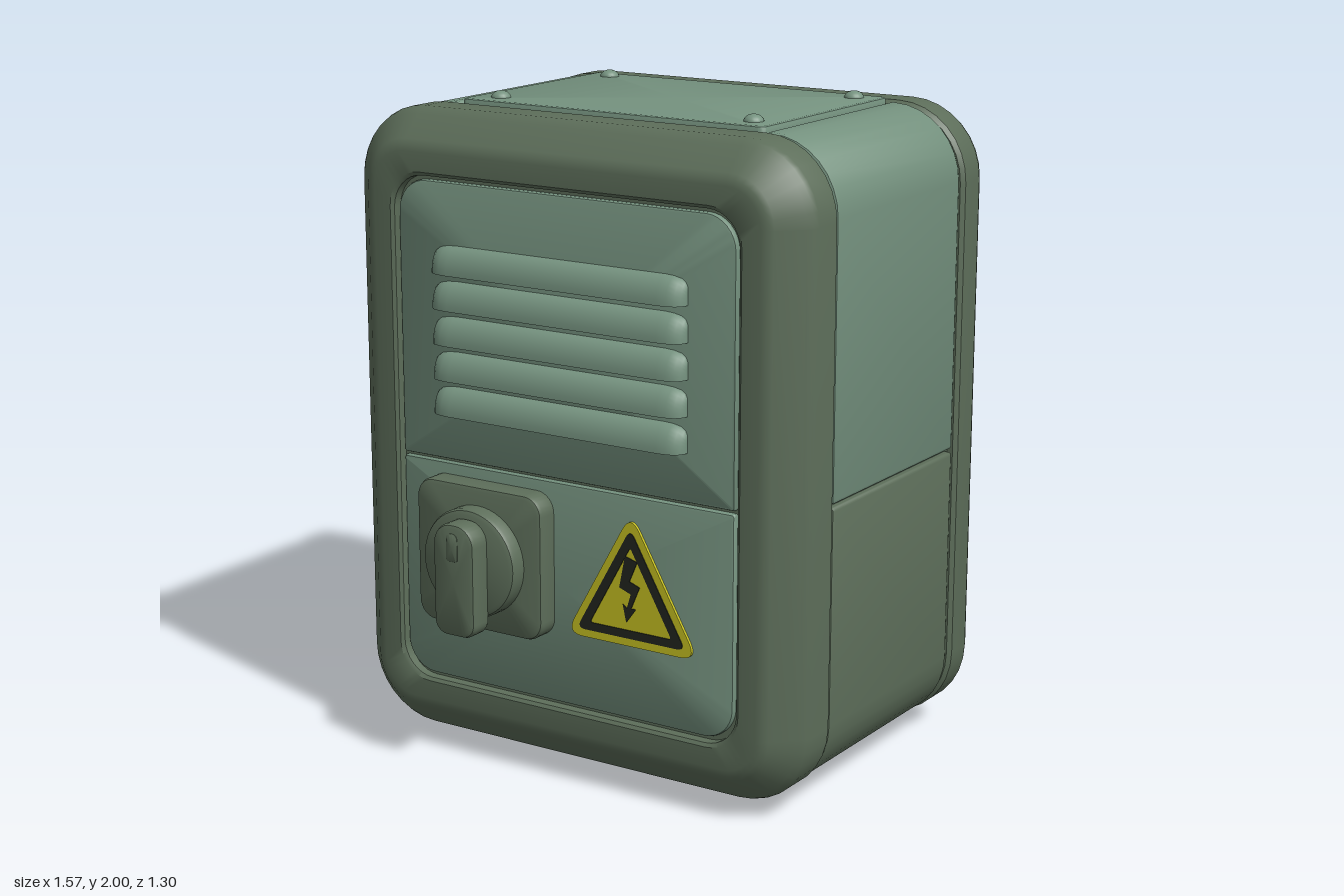
import * as THREE from 'three';
import { toCreasedNormals } from 'three/addons/utils/BufferGeometryUtils.js';

const material = (name, color) => {
  const m = new THREE.MeshStandardMaterial({ color });
  m.name = name;
  return m;
};

// Rounded rectangle outline, counter-clockwise; radii = [topRight, topLeft, bottomLeft, bottomRight]
function outline([x0, x1, y0, y1], radii, inset) {
  const pts = [], steps = 8;
  const corners = [[x1, y1, -1, -1], [x0, y1, 1, -1], [x0, y0, 1, 1], [x1, y0, -1, 1]];
  corners.forEach(([x, y, sx, sy], c) => {
    const r = Math.max(radii[c] - inset, 0.006);
    const cx = x + sx * (inset + r), cy = y + sy * (inset + r);
    for (let i = 0; i <= steps; i++) {
      const a = (c + i / steps) * Math.PI / 2;
      pts.push([cx + r * Math.cos(a), cy + r * Math.sin(a)]);
    }
  });
  return pts;
}

// Closed solid from rows of equal length, capped by fans at both ends
function loft(rows, crease = 0.6) {
  const n = rows[0].length, pos = [], idx = [];
  rows.forEach(row => row.forEach(p => pos.push(...p)));
  for (let k = 0; k < rows.length - 1; k++) {
    for (let i = 0; i < n; i++) {
      const a = k * n + i, b = k * n + (i + 1) % n;
      idx.push(a, b, b + n, a, b + n, a + n);
    }
  }
  [0, rows.length - 1].forEach((k, end) => {
    const mid = [0, 1, 2].map(j => rows[k].reduce((s, p) => s + p[j], 0) / n);
    const m = pos.length / 3;
    pos.push(...mid);
    for (let i = 0; i < n; i++) {
      const a = k * n + i, b = k * n + (i + 1) % n;
      idx.push(m, end ? a : b, end ? b : a);
    }
  });
  const g = new THREE.BufferGeometry();
  g.setAttribute('position', new THREE.Float32BufferAttribute(pos, 3));
  g.setIndex(idx);
  return toCreasedNormals(g, crease);
}

// Slab with a rounded rectangular outline; layers = [inset, z, optional radius]
function slab(rect, radii, layers) {
  const all = Array.isArray(radii) ? radii : [radii, radii, radii, radii];
  return loft(layers.map(([inset, z, r]) =>
    outline(rect, r === undefined ? all : all.map(() => r + inset), inset).map(([x, y]) => [x, y, z])));
}

// Slab with softened edges at both ends
const softSlab = (rect, radii, z0, z1, b) => slab(rect, radii, [
  [b, z0], [b * 0.3, z0 + b * 0.3], [0, z0 + b],
  [0, z1 - b], [b * 0.3, z1 - b * 0.3], [b, z1]]);

// Triangle with rounded corners, scaled about its centre
function triangle(cls, half, bottom, top, round) {
  const s = new cls();
  const v = [[0, top], [-half, bottom], [half, bottom]];
  v.forEach((p, i) => {
    const prev = v[(i + 2) % 3], next = v[(i + 1) % 3];
    const toward = q => {
      const d = Math.hypot(q[0] - p[0], q[1] - p[1]);
      return [p[0] + (q[0] - p[0]) * round / d, p[1] + (q[1] - p[1]) * round / d];
    };
    const a = toward(prev), b = toward(next);
    if (i) s.lineTo(...a); else s.moveTo(...a);
    s.quadraticCurveTo(...p, ...b);
  });
  s.closePath();
  return s;
}

export function createModel() {
  const group = new THREE.Group();
  const light = material('light green paint', 0x75927f);
  const dark = material('dark green paint', 0x5d6e5a);
  const yellow = material('warning yellow', 0xc9c322);
  const black = material('sign black', 0x22261f);

  const add = (name, geometry, mat, parent = group) => {
    const mesh = new THREE.Mesh(geometry, mat);
    mesh.name = name;
    parent.add(mesh);
    return mesh;
  };

  // Housing: core, chamfered front frame with a recess, and back cover
  const face = [-0.787, 0.785, 0.04, 1.97];
  add('core', slab([-0.755, 0.755, 0.06, 1.945], 0.2, [[0, -0.52], [0, 0.28]]), dark);
  add('frontFrame', slab(face, 0.23, [
    [0.012, 0.252], [0, 0.264], [0, 0.36], [0.006, 0.377], [0.02, 0.394],
    [0.085, 0.456], [0.1, 0.466], [0.12, 0.47],
    [0.178, 0.47, 0.11], [0.188, 0.462, 0.105], [0.19, 0.435, 0.1]]), dark);
  add('backCover', slab(face, 0.23, [
    [0.12, -0.65], [0.07, -0.646], [0.035, -0.638], [0.012, -0.622], [0, -0.595],
    [0, -0.507], [0.012, -0.495]]), dark);

  // Side panels wrapping round the corners, light above and dark below
  for (const side of [1, -1]) {
    const xs = side > 0 ? [0.542, 0.777] : [-0.777, -0.53];
    const upper = side > 0 ? [0.22, 0.01, 0.01, 0.01] : [0.01, 0.22, 0.01, 0.01];
    const lower = side > 0 ? [0.01, 0.01, 0.01, 0.22] : [0.01, 0.01, 0.22, 0.01];
    const label = side > 0 ? 'left' : 'right';
    add(label + 'UpperPanel', softSlab([...xs, 0.93, 1.967], upper, -0.485, 0.242, 0.01), light);
    add(label + 'LowerPanel', softSlab([...xs, 0.045, 0.92], lower, -0.485, 0.242, 0.01), dark);
  }

  // Top and bottom plates with domed screws
  for (const [label, y0, y1, dir] of [['top', 1.92, 1.98, 1], ['bottom', 0.03, 0.09, -1]]) {
    const plate = softSlab([-0.518, 0.53, -0.235, 0.485], 0.02, y0, y1, 0.008);
    plate.rotateX(-Math.PI / 2);
    add(label + 'Plate', plate, light);
    for (const x of [-0.43, 0.45]) {
      for (const z of [-0.42, 0.155]) {
        const dome = new THREE.SphereGeometry(0.03, 20, 8, 0, Math.PI * 2, 0, Math.PI / 2);
        if (dir < 0) dome.rotateX(Math.PI);
        dome.scale(1, 0.75, 1);
        add(label + 'Screw', dome, light).position.set(x, dir > 0 ? 1.978 : 0.0225, z);
      }
    }
  }

  // Door in two halves with a seam
  const door = 0.455;
  add('doorUpper', softSlab([-0.59, 0.58, 0.931, 1.768], [0.1, 0.1, 0.005, 0.005], 0.42, door, 0.009), light);
  add('doorLower', softSlab([-0.59, 0.58, 0.242, 0.921], [0.005, 0.005, 0.1, 0.1], 0.42, door, 0.009), light);

  // Louvres: curved hoods, flat underneath, rounded off at the ends
  const stations = [[-0.455, 0.3], [-0.448, 0.6], [-0.435, 0.82], [-0.41, 0.95], [-0.38, 1],
    [0.35, 1], [0.38, 0.95], [0.405, 0.82], [0.418, 0.6], [0.425, 0.3]];
  for (let i = 0; i < 5; i++) {
    const y = 1.502 - i * 0.106;
    const rows = stations.map(([x, s]) => {
      const row = [[x, y, door - 0.005]];
      for (let k = 8; k >= 0; k--) {
        const a = k / 8 * Math.PI / 2;
        row.push([x, y + 0.082 * (0.5 + 0.5 * s) * Math.sin(a), door - 0.005 + 0.057 * s * Math.cos(a)]);
      }
      return row;
    });
    add('louvre', loft(rows, 0.7), light);
  }

  // Rotary switch
  const knob = new THREE.Group();
  knob.name = 'rotarySwitch';
  group.add(knob);
  add('switchPlate', softSlab([-0.492, -0.038, 0.442, 0.886], 0.06, 0.44, 0.524, 0.014), dark, knob);
  const profile = [[0, 0], [0.167, 0], [0.167, 0.04], [0.162, 0.05], [0.15, 0.056], [0, 0.056]];
  const disc = new THREE.LatheGeometry(profile.map(p => new THREE.Vector2(...p)), 48);
  disc.rotateX(Math.PI / 2);
  add('switchDisc', toCreasedNormals(disc, 0.6), dark, knob).position.set(-0.265, 0.662, 0.522);
  add('switchHandle', softSlab([-0.337, -0.19, 0.457, 0.802], [0.065, 0.065, 0.045, 0.045], 0.57, 0.65, 0.014), dark, knob);
  add('handleMark', slab([-0.285, -0.245, 0.69, 0.775], [0.019, 0.019, 0.008, 0.008],
    [[0, 0.647], [0, 0.652], [0.003, 0.654]]), dark, knob);

  // Warning sign: yellow plate, black border, bolt
  const sign = new THREE.Group();
  sign.name = 'warningSign';
  sign.position.set(0.238, 0, door);
  group.add(sign);
  const thin = (shape, depth) => new THREE.ExtrudeGeometry(shape, { depth, bevelEnabled: false, curveSegments: 8 });
  add('signPlate', thin(triangle(THREE.Shape, 0.228, 0.47, 0.872, 0.06), 0.009), yellow, sign);
  const border = triangle(THREE.Shape, 0.188, 0.494, 0.826, 0.03);
  border.holes.push(triangle(THREE.Path, 0.142, 0.519, 0.771, 0.012));
  add('signBorder', thin(border, 0.003), black, sign).position.z = 0.009;
  const bolt = new THREE.Shape([[-0.018, 0.742], [0.024, 0.73], [-0.003, 0.668], [0.032, 0.655],
    [0.002, 0.585], [0.02, 0.588], [-0.014, 0.542], [-0.026, 0.596], [-0.012, 0.585],
    [0.002, 0.63], [-0.038, 0.645]].map(p => new THREE.Vector2(...p)));
  add('signBolt', thin(bolt, 0.003), black, sign).position.z = 0.009;

  return group;
}
